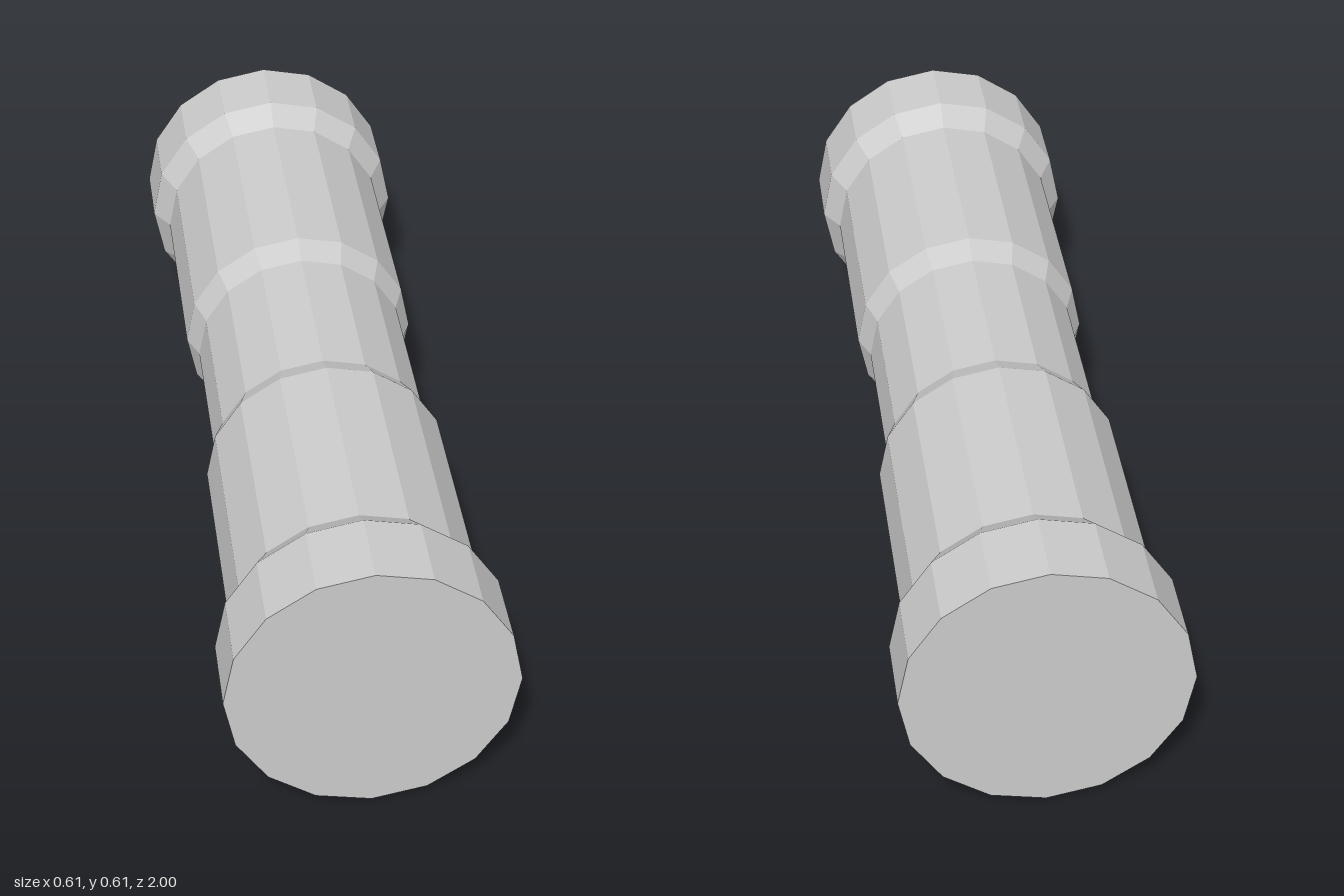
import * as THREE from 'three';

const SIDES = 16;
const RADIUS = 0.303;

export function createModel() {
  const group = new THREE.Group();
  group.name = 'steppedHandle';
  const material = new THREE.MeshStandardMaterial({ color: 0xcccccc, flatShading: true });

  // Half profile [radius, distance from the middle], mirrored about the middle
  const half = [[0.243, 0.2], [0.267, 0.26], [0.267, 0.77], [RADIUS, 0.83], [RADIUS, 1]];
  const profile = [
    ...half.map(([r, d]) => new THREE.Vector2(r, -d)).reverse(),
    ...half.map(([r, d]) => new THREE.Vector2(r, d)),
  ];

  // Faceted body with a narrow waist and flared collars, lying along z
  const body = new THREE.Mesh(new THREE.LatheGeometry(profile, SIDES).rotateX(Math.PI / 2), material);
  body.name = 'body';
  body.position.y = RADIUS;
  group.add(body);

  // Flat end caps
  for (const side of [1, -1]) {
    const cap = new THREE.Mesh(new THREE.CircleGeometry(RADIUS, SIDES), material);
    cap.name = side > 0 ? 'frontCap' : 'backCap';
    cap.position.set(0, RADIUS, side);
    if (side < 0) cap.rotation.y = Math.PI;
    group.add(cap);
  }
  return group;
}
